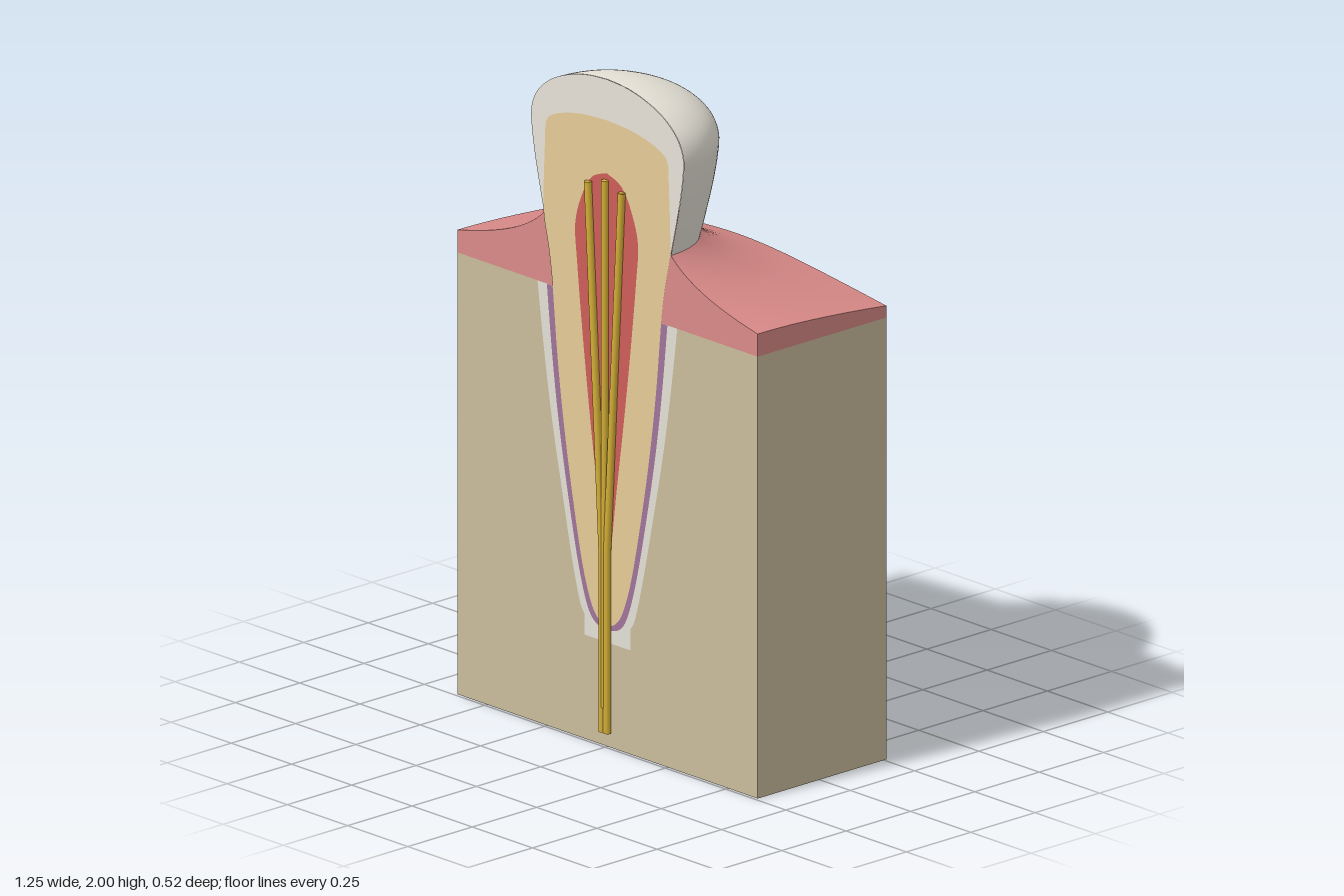
import * as THREE from 'three';

const CUT = 0.24, BACK = -0.26, HALF_W = 0.6225, BONE_TOP = 1.325;

const mat = (name, color, side = THREE.FrontSide) => {
  const m = new THREE.MeshStandardMaterial({ color, side });
  m.name = name;
  return m;
};

const v2 = (pts) => pts.map(([x, y]) => new THREE.Vector2(x, y));
const smooth = (pts, n = 48) => new THREE.SplineCurve(v2(pts)).getPoints(n);

// Flat plate facing +z: a half outline (x >= 0) mirrored across x = 0
function plate(name, half, z, material) {
  const mirrored = half.map((p) => new THREE.Vector2(-p.x, p.y)).reverse();
  const mesh = new THREE.Mesh(new THREE.ShapeGeometry(new THREE.Shape([...half, ...mirrored])), material);
  mesh.position.z = z;
  mesh.name = name;
  return mesh;
}

// Surface through a grid of points given by at(i, j)
function gridSurface(rows, cols, at) {
  const pos = [], idx = [];
  for (let i = 0; i <= rows; i++) for (let j = 0; j <= cols; j++) pos.push(...at(i, j));
  for (let i = 0; i < rows; i++) for (let j = 0; j < cols; j++) {
    const a = i * (cols + 1) + j, c = a + cols + 1;
    idx.push(a, a + 1, c, a + 1, c + 1, c);
  }
  const g = new THREE.BufferGeometry();
  g.setAttribute('position', new THREE.Float32BufferAttribute(pos, 3));
  g.setIndex(idx);
  g.computeVertexNormals();
  return g;
}

export function createModel() {
  const model = new THREE.Group();
  model.name = 'toothSection';
  const enamel = mat('enamel', 0xe8e4d9, THREE.DoubleSide);
  const bone = mat('bone', 0xcabc9c);
  const gum = mat('gum', 0xd98a88, THREE.DoubleSide);
  const dentin = mat('dentin', 0xe6cc98);
  const pulp = mat('pulp', 0xcf5e5a);
  const ligament = mat('ligament', 0xa0749a);
  const socket = mat('socketLining', 0xe4e0d6);
  const nerve = mat('nerve', 0xd4af37);

  // Jaw bone block
  const block = new THREE.Mesh(new THREE.BoxGeometry(2 * HALF_W, BONE_TOP, CUT - BACK), bone);
  block.position.set(0, BONE_TOP / 2, (CUT + BACK) / 2);
  block.name = 'jawBone';
  model.add(block);

  // Gum: its height depends on the distance from the tooth axis
  const heights = [[0.235, 1.57], [0.265, 1.535], [0.32, 1.494], [0.4, 1.455], [0.5, 1.422],
    [0.6225, 1.393], [0.8, 1.36]];
  const gumY = (r) => {
    let k = 0;
    while (k < heights.length - 2 && r > heights[k + 1][0]) k++;
    const slope = (n) => {
      const a = heights[Math.max(n - 1, 0)], b = heights[Math.min(n + 1, heights.length - 1)];
      return (b[1] - a[1]) / (b[0] - a[0]);
    };
    const [r0, y0] = heights[k], [r1, y1] = heights[k + 1];
    const d = r1 - r0, t = (r - r0) / d, t2 = t * t, t3 = t2 * t;
    return y0 * (2 * t3 - 3 * t2 + 1) + y1 * (3 * t2 - 2 * t3)
      + d * (slope(k) * (t3 - 2 * t2 + t) + slope(k + 1) * (t3 - t2));
  };
  const corner = Math.atan2(CUT - BACK, HALF_W);
  const stops = [0, corner, Math.PI - corner, Math.PI], SEG = 14;
  const edge = (t) => Math.min(HALF_W / Math.max(Math.abs(Math.cos(t)), 1e-6),
    (CUT - BACK) / Math.max(Math.sin(t), 1e-6));
  const angle = (i) => {
    const s = Math.min(Math.floor(i / SEG), 2);
    return stops[s] + (stops[s + 1] - stops[s]) * (i - s * SEG) / SEG;
  };
  const gums = new THREE.Group();
  gums.name = 'gum';
  const top = gridSurface(3 * SEG, 20, (i, j) => {
    const t = angle(i), r = 0.235 + (edge(t) - 0.235) * j / 20;
    return [r * Math.cos(t), gumY(r), CUT - r * Math.sin(t)];
  });
  const wall = gridSurface(3 * SEG, 1, (i, j) => {
    const t = angle(i), r = edge(t);
    return [r * Math.cos(t), j ? BONE_TOP : gumY(r), CUT - r * Math.sin(t)];
  }).toNonIndexed();
  wall.computeVertexNormals();
  const gumTop = new THREE.Mesh(top, gum), gumWall = new THREE.Mesh(wall, gum);
  gumTop.name = 'gumTop';
  gumWall.name = 'gumWall';
  const gumHalf = [];
  for (let j = 0; j <= 24; j++) {
    const r = 0.235 + (HALF_W - 0.235) * j / 24;
    gumHalf.push([r, gumY(r)]);
  }
  gums.add(gumTop, gumWall, plate('gumCutFace', v2([...gumHalf, [HALF_W, BONE_TOP]]), CUT, gum));
  model.add(gums);

  // Enamel crown: half a turned shell plus its cut face
  const crownProfile = smooth([[0.262, 1.535], [0.28, 1.61], [0.3, 1.7], [0.313, 1.78], [0.315, 1.84],
    [0.29, 1.895], [0.235, 1.942], [0.16, 1.975], [0.08, 1.994], [0, 2]]);
  const crown = new THREE.Group();
  crown.name = 'enamelCrown';
  const shell = new THREE.Mesh(new THREE.LatheGeometry(crownProfile, 48, Math.PI / 2, Math.PI), enamel);
  shell.position.z = CUT;
  shell.name = 'crownShell';
  crown.add(shell, plate('crownCutFace', [...crownProfile].reverse(), CUT + 0.001, enamel));
  model.add(crown);

  // Layers of the cut face, from the socket inwards
  model.add(plate('socketLining', [
    ...smooth([[0.29, BONE_TOP], [0.262, 1.12], [0.229, 0.92], [0.188, 0.72], [0.147, 0.53], [0.115, 0.41], [0.095, 0.375]]),
    ...v2([[0.095, 0.312]])], CUT + 0.001, socket));
  model.add(plate('ligament', smooth([[0.25, BONE_TOP], [0.228, 1.12], [0.2, 0.92], [0.163, 0.72],
    [0.122, 0.53], [0.085, 0.41], [0.05, 0.362], [0, 0.348]]), CUT + 0.002, ligament));
  model.add(plate('dentin', [
    ...smooth([[0, 1.878], [0.1, 1.872], [0.19, 1.853], [0.24, 1.83], [0.255, 1.805]], 20),
    ...smooth([[0.257, 1.75], [0.262, 1.63], [0.262, 1.535], [0.24, 1.43], [0.225, BONE_TOP], [0.205, 1.12],
      [0.178, 0.92], [0.143, 0.72], [0.103, 0.53], [0.067, 0.42], [0.035, 0.375], [0, 0.362]])],
  CUT + 0.003, dentin));
  model.add(plate('pulp', smooth([[0, 1.72], [0.06, 1.695], [0.1, 1.635], [0.13, 1.54], [0.122, 1.42],
    [0.098, 1.2], [0.07, 0.98], [0.042, 0.78], [0.016, 0.58], [0, 0.5]]), CUT + 0.004, pulp));

  // Nerve fibres fanning out from a shared trunk
  const nerves = new THREE.Group();
  nerves.name = 'nerveFibres';
  const fibre = (name, pts) => {
    const path = new THREE.CurvePath();
    const p = pts.map(([x, y]) => new THREE.Vector3(x, y, 0.251));
    for (let i = 0; i < p.length - 1; i++) path.add(new THREE.LineCurve3(p[i], p[i + 1]));
    nerves.add(new THREE.Mesh(new THREE.TubeGeometry(path, 40, 0.0115, 10), nerve));
    nerves.children.at(-1).name = name;
    // Rounded-off flat ends
    for (const [end, flip] of [[p[0], 1], [p.at(-1), -1]]) {
      const cap = new THREE.Mesh(new THREE.CircleGeometry(0.0115, 10), nerve);
      cap.position.copy(end);
      cap.rotation.x = flip * Math.PI / 2;
      cap.name = name + 'End';
      nerves.add(cap);
    }
  };
  fibre('leftFibre', [[0.0095, 0.045], [0.0095, 0.58], [0.07, 1.68]]);
  fibre('middleFibre', [[0, 0.12], [0, 1.7]]);
  fibre('rightFibre', [[-0.0095, 0.045], [-0.0095, 0.58], [-0.07, 1.68]]);
  model.add(nerves);

  return model;
}
